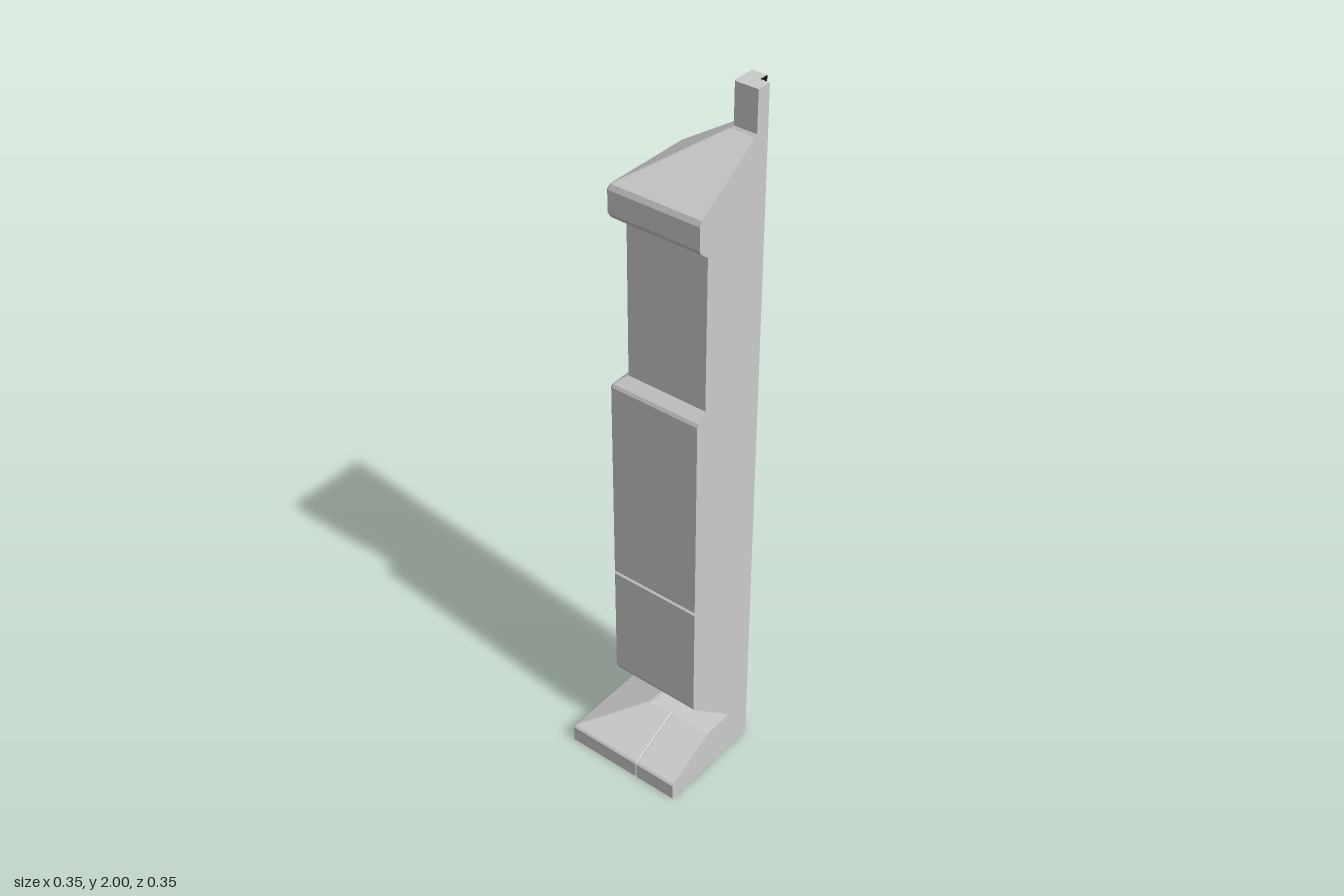
import * as THREE from 'three';

const CUT = 0.177;    // the two flat cut planes (x and z)
const NOTCH = 0.151;  // inner walls of the corner notch
const grey = new THREE.MeshStandardMaterial({ color: 0xcccccc, flatShading: true });
const dark = new THREE.MeshStandardMaterial({ color: 0x161616, flatShading: true });

// Quarter-tower section: outer corner at (p, p), cut planes, notch at the inner corner.
// With a seam position, a thin groove is cut into both outer sides.
function section(p, seam) {
  const c = 0.004, w = 0.002, d = 0.004;
  const groove = seam === undefined ? [] : [[seam - w, p], [seam, p + d], [seam + w, p]];
  return [
    [p, p + c], [p + c, p], ...groove, [CUT, p],
    [CUT, NOTCH], [NOTCH, NOTCH], [NOTCH, CUT],
    [p, CUT], ...groove.map(([x, z]) => [z, x]).reverse(),
  ];
}

function meshFrom(name, positions, material) {
  const geometry = new THREE.BufferGeometry();
  geometry.setAttribute('position', new THREE.Float32BufferAttribute(positions, 3));
  geometry.computeVertexNormals();
  const mesh = new THREE.Mesh(geometry, material);
  mesh.name = name;
  return mesh;
}

function cap(ring, y, up) {
  const points = ring.map(([x, z]) => new THREE.Vector2(x, z));
  const out = [];
  for (const face of THREE.ShapeUtils.triangulateShape(points, [])) {
    for (const i of up ? [face[2], face[1], face[0]] : face) out.push(ring[i][0], y, ring[i][1]);
  }
  return out;
}

// Loft sections along a profile of [corner position, height].
function buildPart(name, profile, { seam, top, bottom } = {}) {
  const rings = profile.map(([p]) => section(p, seam));
  const n = rings[0].length;
  const notchStart = rings[0].findIndex(([x, z]) => x === CUT && z === NOTCH);
  const outer = [], inner = [];
  for (let k = 0; k < rings.length - 1; k++) {
    const y0 = profile[k][1], y1 = profile[k + 1][1];
    for (let i = 0; i < n; i++) {
      const j = (i + 1) % n;
      const a = [rings[k][i][0], y0, rings[k][i][1]];
      const b = [rings[k + 1][i][0], y1, rings[k + 1][i][1]];
      const c = [rings[k + 1][j][0], y1, rings[k + 1][j][1]];
      const d = [rings[k][j][0], y0, rings[k][j][1]];
      const target = i === notchStart || i === notchStart + 1 ? inner : outer;
      target.push(...a, ...b, ...c, ...a, ...c, ...d);
    }
  }
  if (top) outer.push(...cap(rings[rings.length - 1], profile[profile.length - 1][1], true));
  if (bottom) inner.push(...cap(rings[0], profile[0][1], false));
  const group = new THREE.Group();
  group.name = name;
  group.add(meshFrom(name + 'Body', outer, grey), meshFrom(name + 'Notch', inner, dark));
  return group;
}

export function createModel() {
  const model = new THREE.Group();
  model.name = 'quarterTower';
  model.add(
    // Sloped foot with seams and a dark underside
    buildPart('base', [[-0.177, 0], [-0.177, 0.048], [-0.172, 0.054], [-0.025, 0.124], [-0.015, 0.126]],
      { seam: 0.05, top: true, bottom: true }),
    // Tapered lower block
    buildPart('lowerShaft', [[0.07, 0.126], [-0.084, 0.265], [-0.09, 0.277], [-0.09, 0.606], [-0.085, 0.611]]),
    // Tall middle block above the groove
    buildPart('middleShaft', [[-0.085, 0.611], [-0.09, 0.616], [-0.09, 1.203], [-0.086, 1.212], [-0.06, 1.235]]),
    // Narrow upper block
    buildPart('upperShaft', [[-0.06, 1.235], [-0.06, 1.657]]),
    // Overhanging eaves and pyramid roof
    buildPart('roof', [[-0.06, 1.657], [-0.085, 1.677], [-0.09, 1.688], [-0.09, 1.748], [-0.084, 1.762],
      [0.105, 1.886], [0.11, 1.892]]),
    // Square spire
    buildPart('spire', [[0.11, 1.892], [0.11, 2]], { top: true }),
  );
  return model;
}
